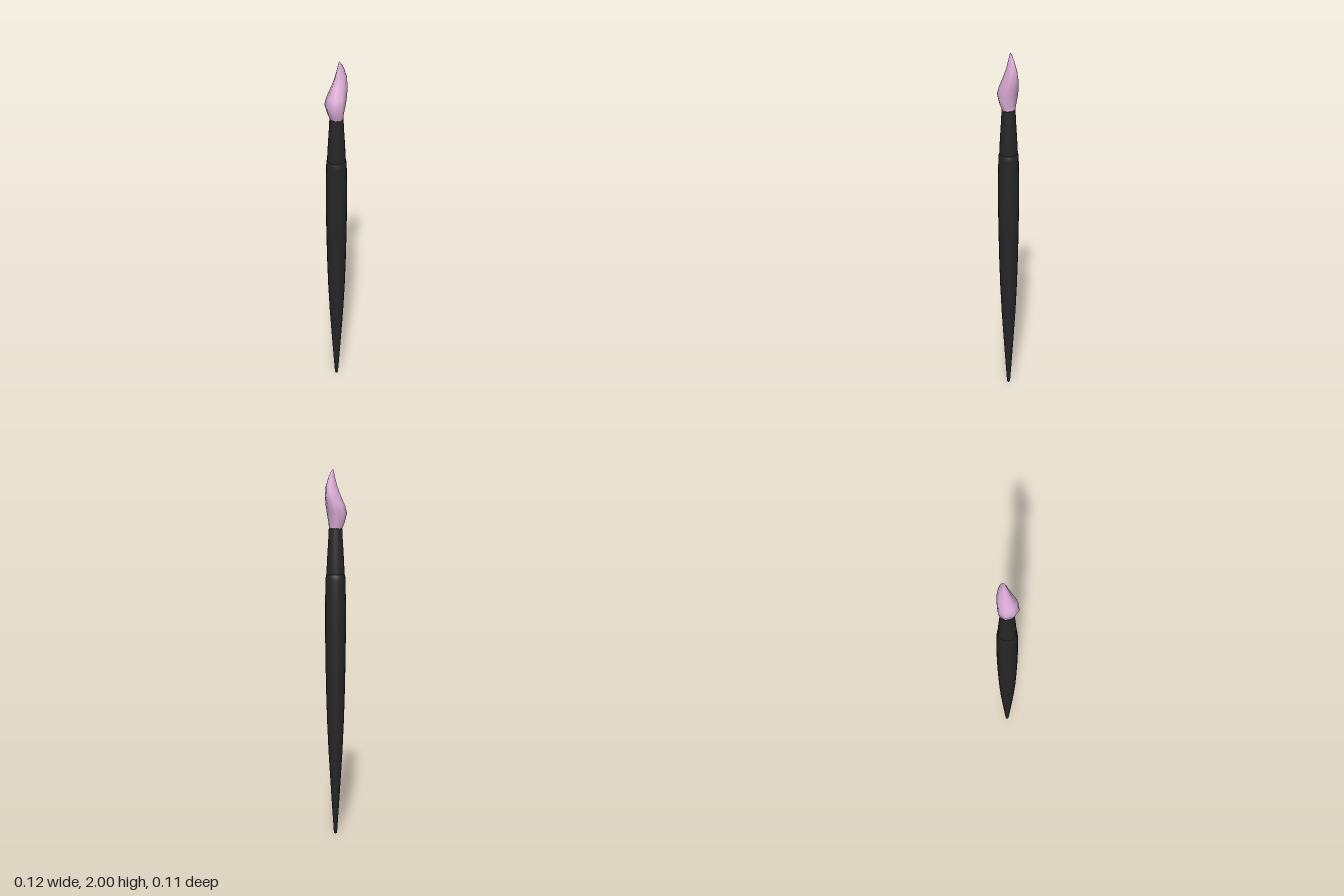
import * as THREE from 'three';
import { mergeVertices } from 'three/addons/utils/BufferGeometryUtils.js';

const AXIS_X = -0.003;

function turned(name, profile, material) {
  const points = profile.map(([r, y]) => new THREE.Vector2(r, y));
  const mesh = new THREE.Mesh(new THREE.LatheGeometry(points, 20), material);
  mesh.name = name;
  mesh.position.x = AXIS_X;
  return mesh;
}

// Eight-sided swept tuft: each row is [y, left edge x, right edge x, half depth]
function tuftGeometry(rows) {
  const sides = 8;
  const geometry = new THREE.LatheGeometry(rows.map(([y]) => new THREE.Vector2(1, y)), sides);
  const pos = geometry.attributes.position;
  for (let i = 0; i < pos.count; i++) {
    const [y, x0, x1, depth] = rows[i % rows.length];
    pos.setXYZ(i, (x0 + x1) / 2 + pos.getX(i) * (x1 - x0) / 2, y, pos.getZ(i) * depth);
  }
  // Weld the seam so the shading runs smoothly all round
  geometry.deleteAttribute('uv');
  geometry.deleteAttribute('normal');
  const welded = mergeVertices(geometry, 1e-5);
  welded.computeVertexNormals();
  return welded;
}

export function createModel() {
  const group = new THREE.Group();
  group.name = 'paintbrush';
  const black = new THREE.MeshStandardMaterial({ color: 0x262626 });
  const pink = new THREE.MeshStandardMaterial({ color: 0xe0b0dc });

  // Long handle, swelling below the ferrule and tapering to a small blunt end
  group.add(turned('handle', [
    [0, 0], [0.007, 0.001], [0.009, 0.008], [0.019, 0.16], [0.029, 0.32],
    [0.038, 0.47], [0.046, 0.65], [0.051, 0.82], [0.054, 0.98], [0.056, 1.15],
    [0.0555, 1.3], [0.053, 1.42], [0.051, 1.445], [0.045, 1.451], [0, 1.451],
  ], black));

  // Tapered ferrule
  group.add(turned('ferrule', [
    [0.047, 1.44], [0.048, 1.46], [0.044, 1.54], [0.039, 1.62],
    [0.0355, 1.689], [0.034, 1.692], [0, 1.692],
  ], black));

  // Flame-shaped bristles, bellied to one side and curling back to the tip
  const bristles = new THREE.Mesh(tuftGeometry([
    [1.685, -0.035, 0.030, 0.034],
    [1.72, -0.049, 0.030, 0.046],
    [1.77, -0.063, 0.038, 0.057],
    [1.81, -0.054, 0.050, 0.050],
    [1.86, -0.033, 0.061, 0.036],
    [1.91, -0.013, 0.060, 0.023],
    [1.96, 0.001, 0.042, 0.011],
    [1.985, 0.008, 0.027, 0.005],
    [2.0, 0.013, 0.013, 0],
  ]), pink);
  bristles.name = 'bristles';
  group.add(bristles);

  return group;
}
